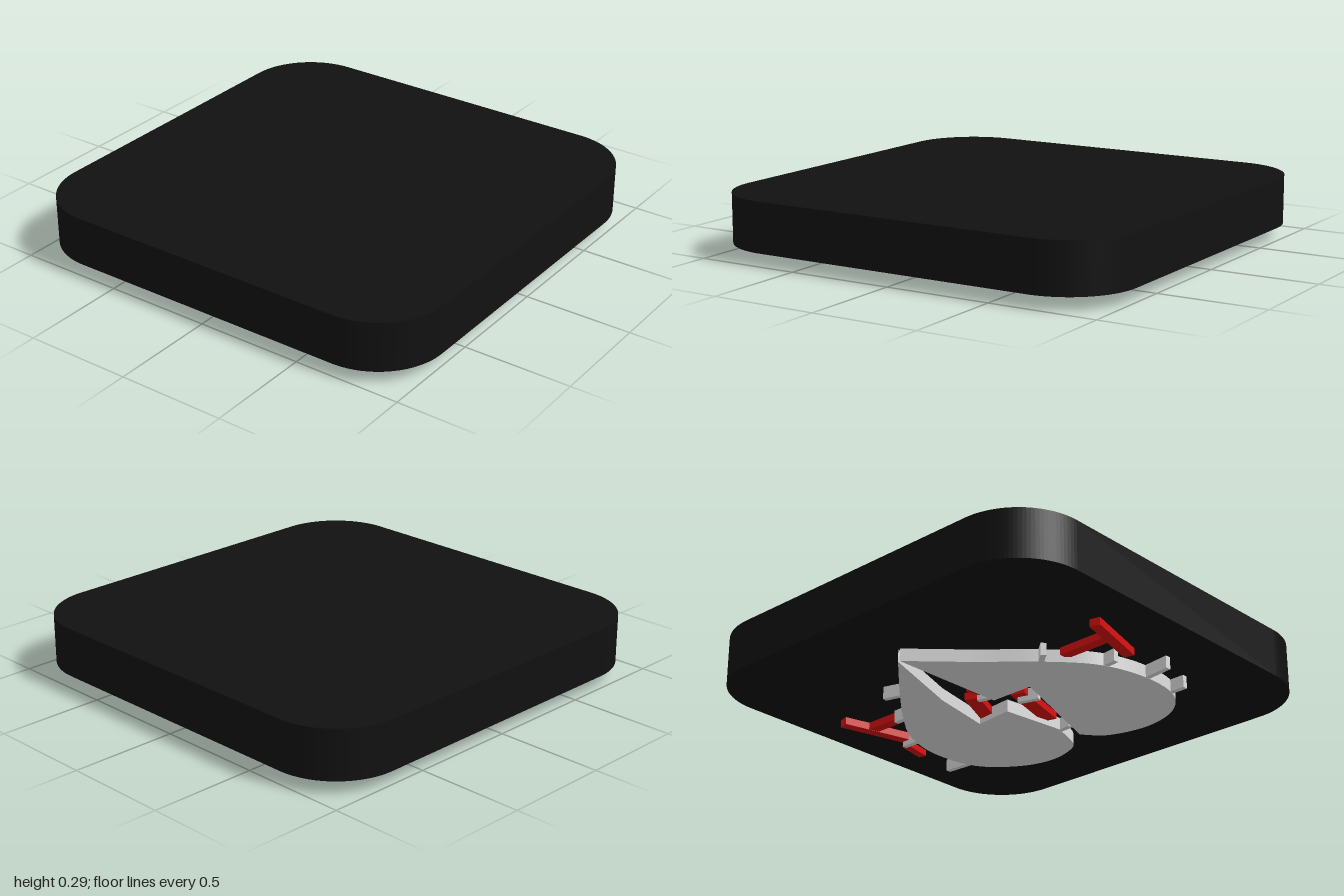
import * as THREE from 'three';

const black = new THREE.MeshStandardMaterial({ color: 0x111111 });
black.name = 'black';
const white = new THREE.MeshStandardMaterial({ color: 0xe0e0e0 });
white.name = 'offWhite';
const red = new THREE.MeshStandardMaterial({ color: 0xdd1111 });
red.name = 'red';

// Extrudes a plan shape (x, z) between two heights
function plate(name, shape, y0, y1, material) {
  const geo = new THREE.ExtrudeGeometry(shape, { depth: y1 - y0, bevelEnabled: false, curveSegments: 14 });
  geo.rotateX(Math.PI / 2);
  geo.translate(0, y1, 0);
  const mesh = new THREE.Mesh(geo, material);
  mesh.name = name;
  return mesh;
}

// Straight bar between two plan points
function bar(name, [x0, z0, x1, z1], width, y0, y1, material) {
  const len = Math.hypot(x1 - x0, z1 - z0);
  const mesh = new THREE.Mesh(new THREE.BoxGeometry(len, y1 - y0, width), material);
  mesh.position.set((x0 + x1) / 2, (y0 + y1) / 2, (z0 + z1) / 2);
  mesh.rotation.y = -Math.atan2(z1 - z0, x1 - x0);
  mesh.name = name;
  return mesh;
}

// Heart half: smooth outer curve, then straight cracked inner edge
function heartHalf(outer, inner) {
  const v = (p) => new THREE.Vector2(p[0], p[1]);
  const shape = new THREE.Shape();
  shape.moveTo(...outer[0]);
  shape.splineThru(outer.slice(1).map(v));
  inner.forEach((p) => shape.lineTo(...p));
  shape.closePath();
  return shape;
}

export function createModel() {
  const model = new THREE.Group();
  const bottom = 0.06;

  // Rounded slab
  const r = 0.32, c = 1 - r;
  const square = new THREE.Shape();
  square.absarc(c, c, r, 0, Math.PI / 2);
  square.absarc(-c, c, r, Math.PI / 2, Math.PI);
  square.absarc(-c, -c, r, Math.PI, Math.PI * 1.5);
  square.absarc(c, -c, r, Math.PI * 1.5, Math.PI * 2);
  square.closePath();
  model.add(plate('slab', square, bottom, 0.29, black));

  // Broken heart on the underside
  const leftHalf = heartHalf(
    [[0.045, -0.66], [0.29, -0.41], [0.48, -0.2], [0.6, -0.03], [0.66, 0.19], [0.62, 0.43],
      [0.46, 0.58], [0.28, 0.625], [0.11, 0.57], [0.05, 0.46]],
    [[0.02, 0.37], [0.058, 0.05], [0.25, 0.07], [0.19, -0.24]]);
  const rightHalf = heartHalf(
    [[0.035, -0.66], [-0.2, -0.43], [-0.4, -0.25], [-0.57, -0.05], [-0.64, 0.18], [-0.62, 0.41],
      [-0.5, 0.56], [-0.31, 0.62], [-0.11, 0.58], [-0.01, 0.48]],
    [[-0.2, -0.08], [0.02, -0.08]]);
  model.add(plate('heartLeftHalf', leftHalf, 0, bottom, white));
  model.add(plate('heartRightHalf', rightHalf, 0, bottom, white));

  // Small spikes around the rim and in the crack
  const spikes = [
    [0.6, 0.4, 0.77, 0.39], [0.58, 0.03, 0.71, 0.03], [0.45, -0.2, 0.53, -0.2], [0.28, -0.39, 0.38, -0.42],
    [-0.6, 0.4, -0.7, 0.4], [-0.61, 0.21, -0.77, 0.19], [-0.56, -0.01, -0.65, -0.02], [-0.4, -0.23, -0.46, -0.28],
    [-0.04, 0.38, 0.06, 0.39], [-0.14, 0.05, -0.04, 0.02], [0.0, -0.1, 0.08, -0.12],
  ];
  for (const s of spikes) model.add(bar('rimSpike', s, 0.025, 0.001, bottom, white));

  // Red branching veins on both sides
  for (const side of [1, -1]) {
    model.add(bar('sideVein', [side * 0.69, 0.02, side * 0.775, -0.31], 0.05, 0.025, bottom, red));
    model.add(bar('sideVeinBranch', [side * 0.74, -0.17, side * 0.48, -0.17], 0.05, 0.026, bottom, red));
  }
  model.add(bar('shortVein', [0.78, 0.22, 0.75, 0.08], 0.04, 0.03, bottom, red));

  // Red veins inside the crack
  const crackVeins = [[0.22, 0.1, 0.12, -0.12], [0.02, 0.3, -0.07, -0.02], [0.02, -0.08, 0.05, -0.2]];
  for (const s of crackVeins) model.add(bar('crackVein', s, 0.07, 0.025, bottom, red));

  return model;
}
